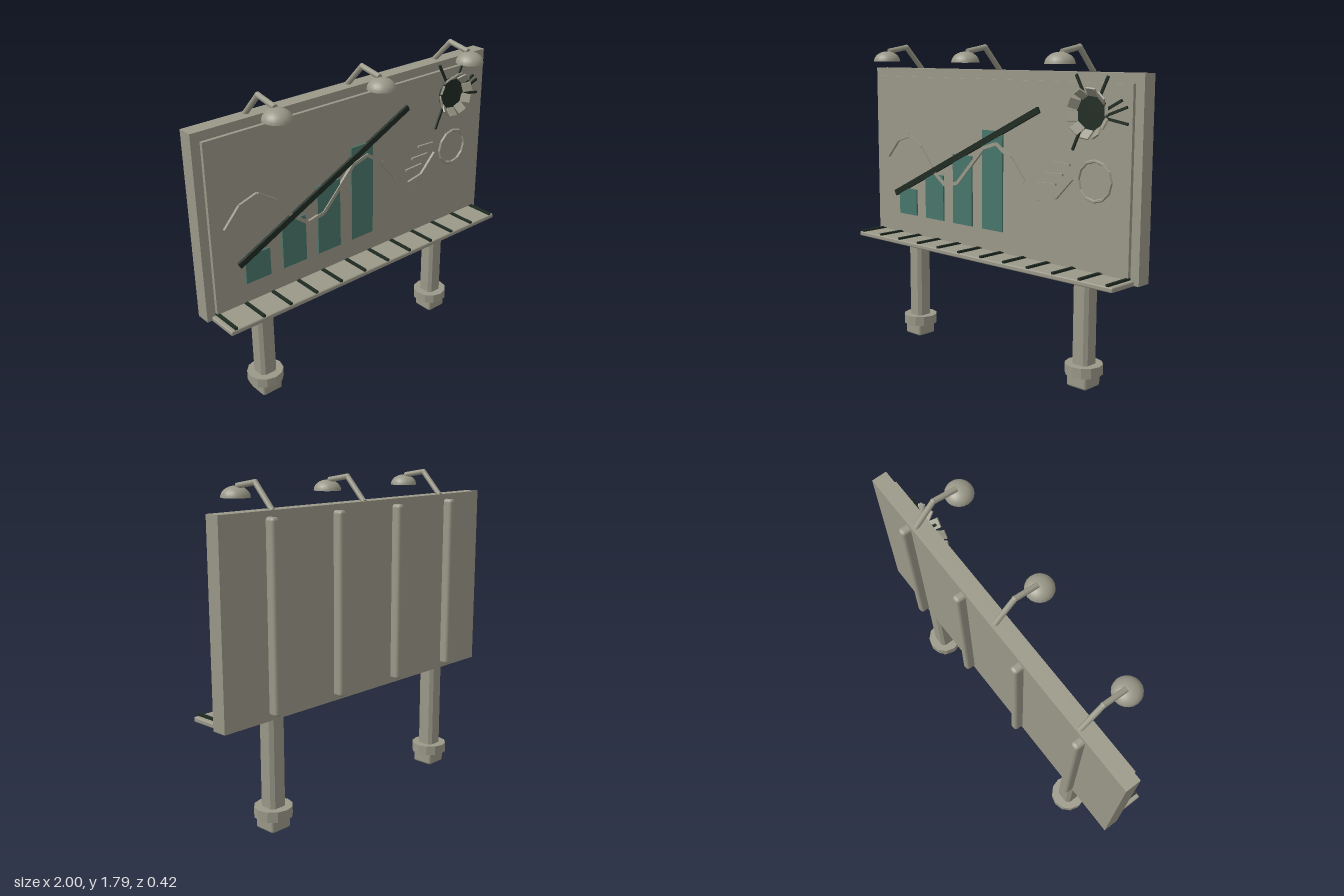
import * as THREE from 'three';
import { RoundedBoxGeometry } from 'three/addons/geometries/RoundedBoxGeometry.js';

export function createModel() {
  const root = new THREE.Group();
  root.name = 'billboard';
  const make = (name, color, extra = {}) => {
    const m = new THREE.MeshStandardMaterial({ color, ...extra });
    m.name = name;
    return m;
  };
  const stone = make('stoneGrey', 0x9a9888);
  const stoneFlat = make('stoneGreyFlat', 0x9a9888, { flatShading: true });
  const dome = make('stoneGreyShade', 0x9a9888, { side: THREE.DoubleSide });
  const teal = make('teal', 0x48766a);
  const dark = make('darkGreen', 0x1f2b22);

  const add = (name, geo, mat, x = 0, y = 0, z = 0, parent = root) => {
    const m = new THREE.Mesh(geo, mat);
    m.name = name;
    m.position.set(x, y, z);
    parent.add(m);
    return m;
  };
  const box = (name, mat, x0, x1, y0, y1, z0, z1) =>
    add(name, new THREE.BoxGeometry(x1 - x0, y1 - y0, z1 - z0), mat,
      (x0 + x1) / 2, (y0 + y1) / 2, (z0 + z1) / 2);
  // flat strip on the board between two points
  const strip = (name, mat, a, b, width, z0, z1) => {
    const dx = b[0] - a[0], dy = b[1] - a[1];
    const m = add(name, new THREE.BoxGeometry(Math.hypot(dx, dy), width, z1 - z0), mat,
      (a[0] + b[0]) / 2, (a[1] + b[1]) / 2, (z0 + z1) / 2);
    m.rotation.z = Math.atan2(dy, dx);
    return m;
  };
  // round rod between two points
  const rod = (name, a, b, r, parent) => {
    const d = b.clone().sub(a);
    const mid = a.clone().add(b).multiplyScalar(0.5);
    const m = add(name, new THREE.CylinderGeometry(r, r, d.length(), 12), stone, mid.x, mid.y, mid.z, parent);
    m.quaternion.setFromUnitVectors(new THREE.Vector3(0, 1, 0), d.normalize());
  };

  // Board and face plate
  box('board', stone, -1, 1, 0.61, 1.65, -0.157, -0.072);
  box('facePlate', stone, -0.95, 0.95, 0.645, 1.6, -0.072, -0.052);

  // Back ribs
  for (const x of [-0.69, -0.23, 0.23, 0.69])
    add('backRib', new RoundedBoxGeometry(0.048, 0.985, 0.08, 3, 0.018), stone, x, 1.128, -0.168);

  // Legs: chamfered post, collar and foot
  const c = 0.033, h = 0.051;
  const post = new THREE.Shape(
    [[c, -h], [h, -c], [h, c], [c, h], [-c, h], [-h, c], [-h, -c], [-c, -h]]
      .map(([x, y]) => new THREE.Vector2(x, y)));
  for (const x of [-0.65, 0.65]) {
    const leg = new THREE.Group();
    leg.name = 'leg';
    leg.position.set(x, 0, -0.1);
    root.add(leg);
    const p = add('post', new THREE.ExtrudeGeometry(post, { depth: 0.55, bevelEnabled: false }),
      stoneFlat, 0, 0.065, 0, leg);
    p.rotation.x = -Math.PI / 2;
    add('collar', new THREE.CylinderGeometry(0.102, 0.102, 0.056, 12), stoneFlat, 0, 0.098, 0, leg);
    add('foot', new RoundedBoxGeometry(0.13, 0.075, 0.13, 2, 0.014), stone, 0, 0.0375, 0.003, leg);
  }

  // Catwalk with dark slats
  add('catwalk', new RoundedBoxGeometry(1.95, 0.028, 0.185, 2, 0.008), stone, 0, 0.622, 0.021);
  for (let i = 0; i < 12; i++) {
    const x = -0.943 + i * 0.1715;
    box('catwalkSlat', dark, x - 0.008, x + 0.008, 0.636, 0.648, -0.07, 0.112);
  }

  // Lamps: bent arm and domed shade
  const shadePts = [];
  for (let i = 0; i <= 8; i++) {
    const t = (i / 8) * Math.PI / 2;
    shadePts.push(new THREE.Vector2(0.076 * Math.cos(t), 0.058 * Math.sin(t)));
  }
  for (const x of [-0.65, 0, 0.65]) {
    const lamp = new THREE.Group();
    lamp.name = 'lamp';
    lamp.position.x = x;
    root.add(lamp);
    const base = new THREE.Vector3(0, 1.645, -0.135);
    const elbow = new THREE.Vector3(0, 1.773, -0.015);
    const tip = new THREE.Vector3(0, 1.75, 0.12);
    rod('lowerArm', base, elbow, 0.015, lamp);
    rod('upperArm', elbow, tip, 0.015, lamp);
    add('elbow', new THREE.SphereGeometry(0.016, 12, 8), stone, 0, elbow.y, elbow.z, lamp);
    add('shade', new THREE.LatheGeometry(shadePts, 20), dome, 0, 1.692, 0.135, lamp);
    const under = add('shadeUnderside', new THREE.CircleGeometry(0.075, 20), stone, 0, 1.694, 0.135, lamp);
    under.rotation.x = Math.PI / 2;
  }

  // Bar chart and trend line
  [0.92, 1.03, 1.165, 1.32].forEach((top, i) => {
    const x = -0.765 + i * 0.238;
    box('chartBar', teal, x, x + 0.155, 0.76, top, -0.053, -0.043);
  });
  strip('trendLine', dark, [-0.802, 0.882], [0.363, 1.45], 0.034, -0.052, -0.036);

  // Wavy line
  const wave = [[-0.87, 1.11], [-0.775, 1.215], [-0.67, 1.248], [-0.565, 1.18], [-0.46, 1.055],
    [-0.355, 0.977], [-0.25, 1.0], [-0.145, 1.11], [-0.04, 1.22], [0.06, 1.25],
    [0.165, 1.18], [0.27, 1.055], [0.375, 0.977], [0.485, 1.0], [0.59, 1.11]];
  for (let i = 1; i < wave.length; i++)
    strip('waveSegment', stone, wave[i - 1], wave[i], 0.02, -0.054, -0.037);

  // Ring and short dashes
  add('ring', new THREE.TorusGeometry(0.103, 0.009, 6, 12), stoneFlat, 0.735, 1.11, -0.046);
  strip('dash', stone, [0.455, 1.184], [0.575, 1.178], 0.011, -0.054, -0.04);
  strip('dash', stone, [0.405, 1.122], [0.53, 1.122], 0.011, -0.054, -0.04);
  strip('dash', stone, [0.36, 1.062], [0.485, 1.068], 0.011, -0.054, -0.04);

  // Burst hole: dark disc, outward flaps and cracks
  const burst = new THREE.Group();
  burst.name = 'burstHole';
  burst.position.set(0.71, 1.45, 0);
  root.add(burst);
  const disc = add('hole', new THREE.CylinderGeometry(0.095, 0.095, 0.008, 20), dark, 0, 0, -0.048, burst);
  disc.rotation.x = Math.PI / 2;
  for (let i = 0; i < 10; i++) {
    const spoke = new THREE.Group();
    spoke.name = 'flapPivot';
    spoke.rotation.z = (i + 0.3) * Math.PI / 5;
    burst.add(spoke);
    const flap = add('flap', new THREE.BoxGeometry(0.056, 0.052, 0.009), stone, 0.106, 0, -0.023, spoke);
    flap.rotation.y = -Math.PI / 4;
    flap.rotation.x = (i % 3 - 1) * 0.2;
  }
  const cracks = [[0.804, 1.633, 0.75, 1.52], [0.89, 1.52, 0.78, 1.462], [0.922, 1.488, 0.78, 1.435],
    [0.928, 1.406, 0.78, 1.43], [0.59, 1.257, 0.65, 1.39], [0.606, 1.638, 0.665, 1.53]];
  for (const [x0, y0, x1, y1] of cracks)
    strip('crack', dark, [x0, y0], [x1, y1], 0.013, -0.053, -0.042);

  return root;
}
